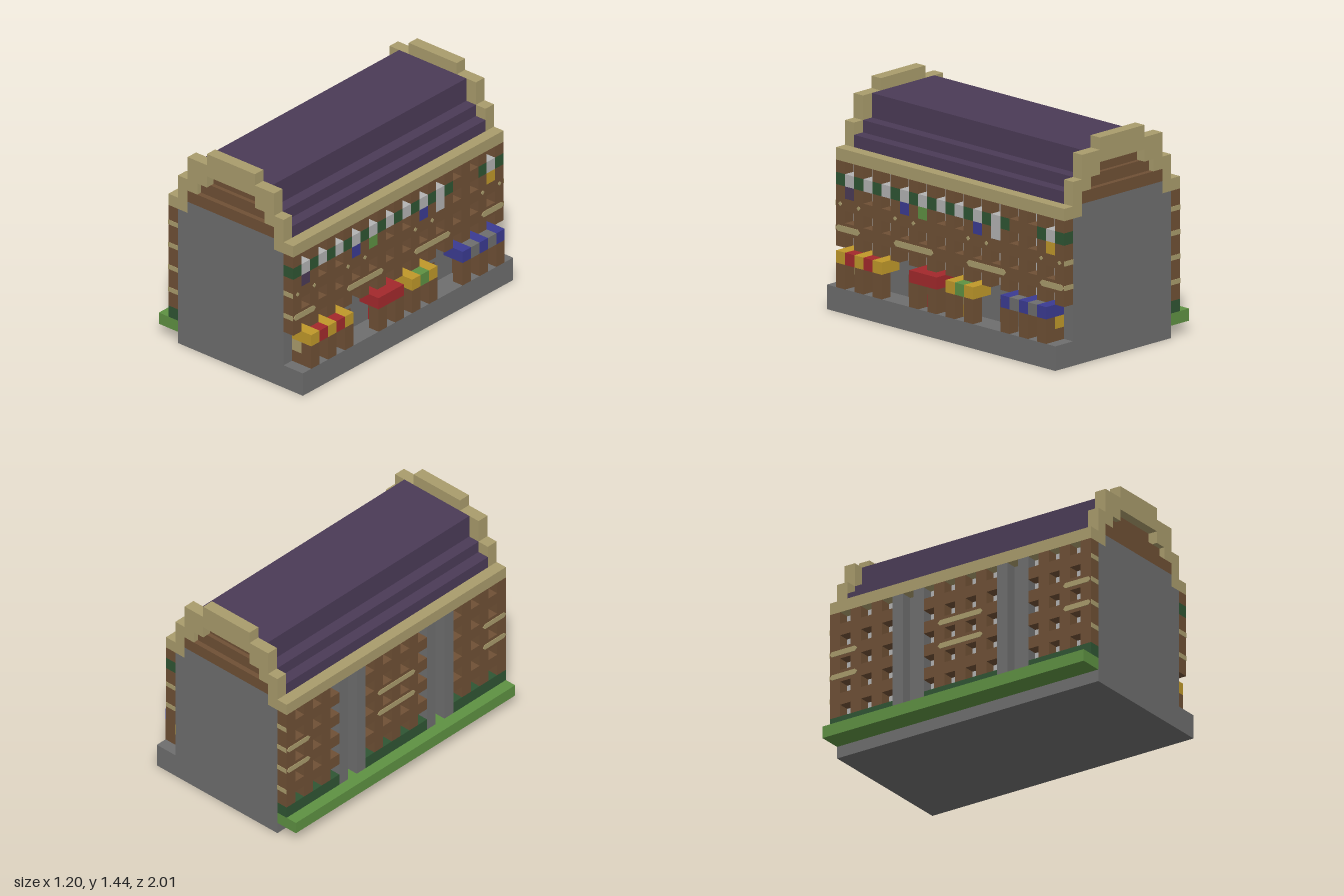
import * as THREE from 'three';

const U = 0.08; // one masonry block; the building is 25 blocks long

const mat = (name, color) => Object.assign(new THREE.MeshStandardMaterial({ color }), { name });

export function createModel() {
  const M = {
    stone: mat('grey stone', 0x6e6e6e), brick: mat('brown brick', 0x6f5035),
    sand: mat('sandstone', 0xa99c6c), forest: mat('dark green', 0x2f5533),
    grass: mat('grass green', 0x5e9142), roof: mat('purple roof', 0x4b3b57),
    pane: mat('pale grey', 0xb3b3b3), red: mat('red', 0xa3292c),
    gold: mat('yellow', 0xbf982a), blue: mat('blue', 0x3b3b92),
  };
  const model = new THREE.Group();
  model.name = 'marketBuilding';

  // Block from x0..x1, y0..y1 and block columns c0..c1 counted from the front, all in blocks
  const block = (name, m, x0, x1, y0, y1, c0 = 0, c1 = 25) => {
    const mesh = new THREE.Mesh(
      new THREE.BoxGeometry(Math.abs(x1 - x0) * U, (y1 - y0) * U, (c1 - c0) * U), m);
    mesh.position.set((x0 + x1) / 2 * U, (y0 + y1) / 2 * U, (12.5 - (c0 + c1) / 2) * U);
    mesh.name = name;
    model.add(mesh);
    return mesh;
  };

  // Flat sandstone moulding with pointed ends, laid on a long wall
  const moulding = (side, y, c0, c1, h) => {
    const a = (c1 - c0) / 2 * U, b = h / 2 * U;
    const s = new THREE.Shape([[-a, 0], [-a + b, -b], [a - b, -b], [a, 0], [a - b, b], [-a + b, b]]
      .map(p => new THREE.Vector2(...p)));
    const mesh = new THREE.Mesh(new THREE.ExtrudeGeometry(s, { depth: 0.004, bevelEnabled: false }), M.sand);
    mesh.rotation.y = side * Math.PI / 2;
    mesh.position.set(side * 6.5 * U, y * U, (12.5 - (c0 + c1) / 2) * U);
    mesh.name = 'moulding';
    model.add(mesh);
  };

  // Main body, raised base under the shops and lawn strip
  block('mainBody', M.stone, -5.5, 5.5, 0, 12);
  block('upperBody', M.stone, -4.5, 4.5, 12, 13);
  block('shopBase', M.stone, 5.5, 7.5, 0, 2);
  block('lawn', M.grass, -7.5, -5.5, 1, 2);

  // Stepped roof
  block('roofLow', M.roof, -5.5, 5.5, 13, 14, 1, 24);
  block('roofMid', M.roof, -4.5, 4.5, 14, 15, 1, 24);
  block('roofTop', M.roof, -3.5, 3.5, 15, 17, 1, 24);

  // Stepped gables with a recessed brick tympanum, and eaves along both sides
  const steps = [[6.5, 12], [6.5, 13], [5.5, 13], [5.5, 15], [4.5, 15], [4.5, 17], [2.5, 17], [2.5, 18]];
  const inner = [[2.5, 16], [2.5, 15], [3.5, 15], [3.5, 14], [4.5, 14], [4.5, 12]];
  const right = [...inner, ...steps];
  const mirror = right.map(([x, y]) => [-x, y]).reverse();
  const gableShape = new THREE.Shape([...right, ...mirror].map(([x, y]) => new THREE.Vector2(x * U, y * U)));
  const gableGeo = new THREE.ExtrudeGeometry(gableShape, { depth: U, bevelEnabled: false });
  for (const end of [1, -1]) {
    const gable = new THREE.Mesh(gableGeo, M.sand);
    gable.position.z = end > 0 ? 11.5 * U : -12.5 * U;
    gable.name = 'gable';
    model.add(gable);
    [[4.5, 13, 0], [3.5, 14, 0.45], [2.5, 15, 0.8]].forEach(([w, y, inset]) => {
      const c = end > 0 ? [inset, 1.05] : [23.95, 25 - inset];
      block('gableBrick', M.brick, -w, w, y, y + 1, ...c);
    });
    // Back of the gable above the roof steps
    const c = end > 0 ? [0.9, 1] : [24, 24.1];
    block('gableBack', M.sand, -2.5, 2.5, 15, 16, ...c);
  }
  for (const s of [-1, 1]) block('eaves', M.sand, s * 5.5, s * 6.5, 12, 13, 1, 24);

  // Market-side facade: solid courses and window courses
  for (const y of [6, 8]) block('brickCourse', M.brick, 5.5, 6.5, y, y + 1);
  for (const y of [5, 7, 9, 11]) {
    for (let c = 0; c < 25; c++) {
      if (c % 2 === 0) block('brickPier', M.brick, 5.5, 6.5, y, y + 1, c, c + 1);
      else block('windowPane', M.pane, 5.5, 5.55, y, y + 1, c, c + 1);
    }
  }
  // Striped canopy with hanging banners
  for (let c = 0; c < 25; c++) {
    const m = c >= 19 && c <= 21 ? M.brick : c % 2 ? M.pane : M.forest;
    block('canopyStripe', m, 5.5, 6.5, 10, 11, c, c + 1);
  }
  for (const [c, m] of [[1, 'roof'], [7, 'blue'], [9, 'grass'], [15, 'blue'], [17, 'pane'], [23, 'gold']])
    block('banner', M[m], 5.6, 6.5, 9, 10, c, c + 1);

  // Shops: awnings, outer posts and recessed goods
  const awnings = [
    [1, ['gold', 'red', 'gold', 'red', 'gold']], [9, ['red', 'red', 'red']],
    [13, ['gold', 'grass', 'gold']], [19, ['blue', 'stone', 'blue', 'stone', 'blue']],
  ];
  for (const [start, colours] of awnings)
    colours.forEach((m, i) => block('awning', M[m], 5.5, 7.5, 4, 5, start + i, start + i + 1));
  for (const c of [1, 3, 5, 9, 11, 13, 15, 19, 21, 23])
    block('shopPost', M.brick, 6.5, 7.5, 2, 4, c, c + 1);
  for (const c of [2, 20]) block('shopDoor', M.brick, 5.5, 5.6, 2, 4, c, c + 1);
  for (const c of [7, 17]) block('archedDoor', M.brick, 5.5, 5.55, 2, 3.85, c + 0.05, c + 0.9);
  for (const [c, low, high] of [[1, 'brick', 'sand'], [10, 'red', 'brick'], [14, 'gold', 'sand'], [23, 'brick', 'gold']]) {
    block('shopGoods', M[low], 5.5, 6.5, 2, 3, c, c + 1);
    block('shopGoods', M[high], 5.5, 6.5, 3, 4, c, c + 1);
  }

  // Garden-side facade: three brick bays split by paired stone pilasters
  for (const [a, b] of [[0, 6], [9, 16], [19, 25]]) {
    block('hedgeCourse', M.forest, -6.5, -5.5, 2, 3, a, b);
    for (const y of [4, 6, 8, 10]) block('brickCourse', M.brick, -6.5, -5.5, y, y + 1, a, b);
    for (const y of [3, 5, 7, 9, 11]) {
      for (let c = a; c < b; c++) {
        if (c % 2 === 0) block('brickPier', M.brick, -6.5, -5.5, y, y + 1, c, c + 1);
        else block('windowPane', M.pane, -5.55, -5.5, y, y + 1, c, c + 1);
      }
    }
  }
  for (const c of [6, 8, 16, 18]) block('pilaster', M.stone, -6.5, -5.5, 2, 12, c, c + 1);

  // Mouldings on the long walls
  for (const [a, b] of [[0, 2.65], [6.35, 10.7], [14.35, 18.65], [22.35, 25]]) moulding(1, 6.5, a, b, 0.5);
  for (const c of [0.5, 2.5, 6.5, 8.5, 14.5, 16.5, 22.5, 24.5]) moulding(1, 8.5, c - 0.2, c + 0.2, 0.35);
  for (const y of [6.5, 8.5])
    for (const [a, b] of [[0, 2.65], [10.35, 14.65], [22.35, 25]]) moulding(-1, y, a, b, 0.45);
  // Moulding returns on the end faces of both facades
  for (const [s, rows] of [[1, [6.5, 8.5]], [-1, [4.5, 6.5, 8.5, 10.5]]])
    for (const y of rows)
      for (const c of [-0.04, 25])
        block('mouldingReturn', M.sand, s * 5.5, s * 6.5, y - 0.2, y + 0.2, c, c + 0.04);

  return model;
}
